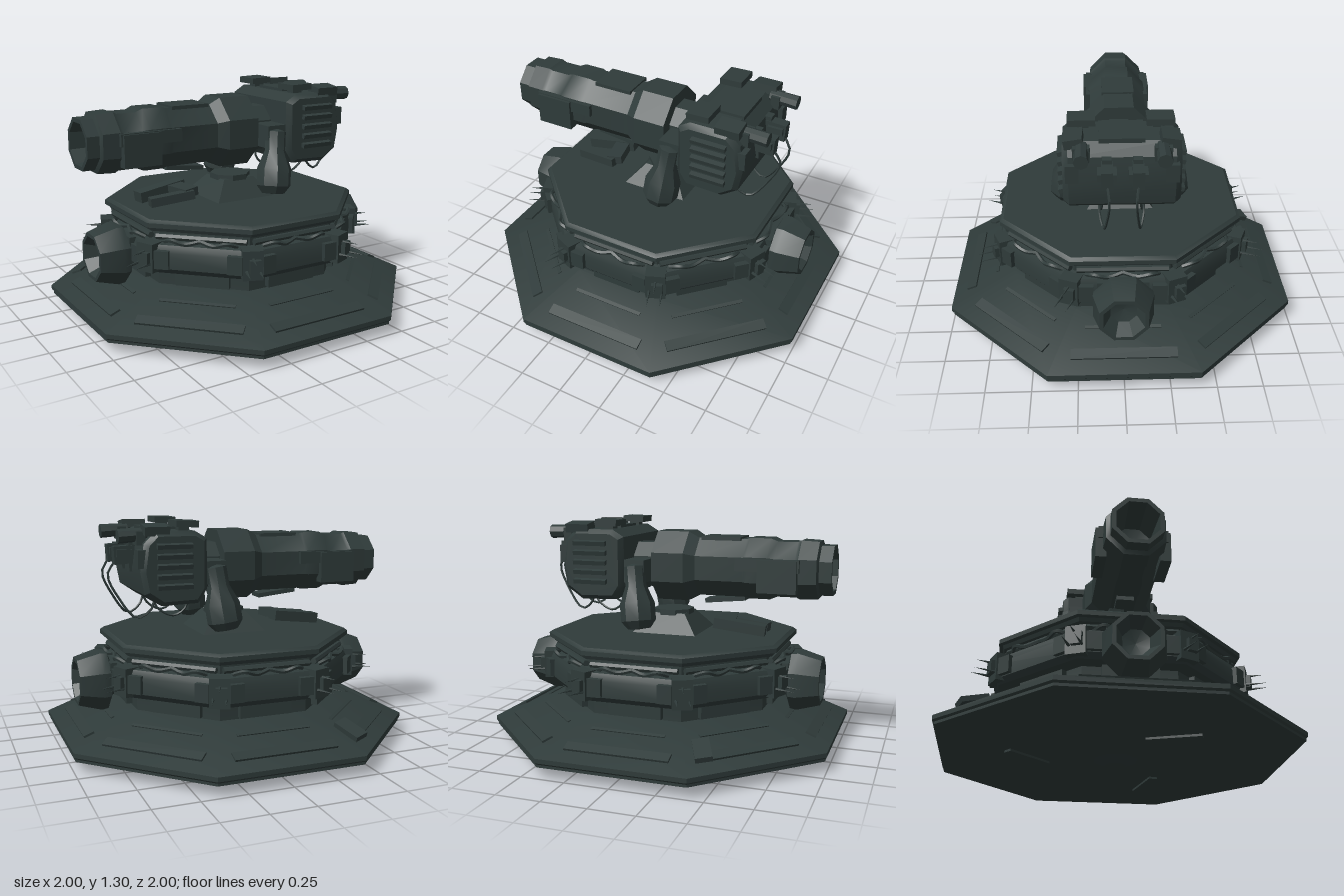
import * as THREE from 'three';
import { toCreasedNormals } from 'three/addons/utils/BufferGeometryUtils.js';

const darkMetal = new THREE.MeshStandardMaterial({ color: 0x2f3b3a });
const K = 1 / Math.cos(Math.PI / 8);

function add(parent, name, geo, x = 0, y = 0, z = 0, rx = 0, ry = 0, rz = 0) {
  const m = new THREE.Mesh(toCreasedNormals(geo, 0.5), darkMetal);
  m.name = name;
  m.position.set(x, y, z);
  m.rotation.set(rx, ry, rz);
  parent.add(m);
  return m;
}
const box = (w, h, d) => new THREE.BoxGeometry(w, h, d);

// Octagonal solid from [half width across flats, height] pairs, flats facing the axes
function octagon(points) {
  return new THREE.LatheGeometry(points.map(([r, y]) => new THREE.Vector2(r * K, y)), 8, Math.PI / 8);
}

// Block with tapered top
function taper(w, h, d, top) {
  const g = box(w, h, d), p = g.attributes.position;
  for (let i = 0; i < p.count; i++) if (p.getY(i) > 0) {
    p.setX(i, p.getX(i) * top);
    p.setZ(i, p.getZ(i) * top);
  }
  return g;
}

function tube(points, r) {
  const curve = new THREE.CatmullRomCurve3(points.map((p) => new THREE.Vector3(...p)));
  return new THREE.TubeGeometry(curve, 14, r, 5);
}

function buildBase(root) {
  const base = new THREE.Group();
  base.name = 'base';
  root.add(base);
  add(base, 'skirt', octagon([[0, 0.04], [0.93, 0.045], [0.99, 0.06], [0.99, 0.075], [1, 0.085], [1, 0.11], [0.63, 0.26], [0, 0.26]]));
  add(base, 'drum', octagon([[0, 0.25], [0.61, 0.25], [0.61, 0.36], [0.63, 0.53], [0.63, 0.6], [0, 0.6]]));
  add(base, 'beltRing', octagon([[0.6, 0.34], [0.68, 0.35], [0.705, 0.38], [0.705, 0.47], [0.69, 0.51], [0.6, 0.53]]));
  add(base, 'deck', octagon([[0, 0.575], [0.66, 0.575], [0.67, 0.595], [0.69, 0.6], [0.69, 0.625], [0.67, 0.64], [0, 0.64]]));
  add(base, 'undersideHub', octagon([[0, 0], [0.05, 0.005], [0.13, 0.045], [0, 0.045]]));
  for (let i = 0; i < 3; i++) {
    const a = i * Math.PI * 2 / 3 + 0.5;
    add(base, 'undersideFin', box(0.3, 0.02, 0.05), Math.cos(a) * 0.5, 0.04, Math.sin(a) * 0.5, 0, 0.7 - a, 0);
  }
  for (let i = 0; i < 8; i++) {
    // Everything repeated on each of the eight sides
    const side = new THREE.Group();
    side.name = 'baseSide';
    side.rotation.y = i * Math.PI / 4;
    base.add(side);
    add(side, 'slopePanel', box(0.58, 0.02, 0.06), 0, 0.156, 0.89, 0.376);
    add(side, 'slopeRib', box(0.42, 0.012, 0.02), 0, 0.215, 0.74, 0.376);
    add(side, 'lowerBracket', box(0.3, 0.07, 0.05), 0, 0.305, 0.62);
    add(side, 'neckPipe', new THREE.CylinderGeometry(0.018, 0.018, 0.5, 6), 0, 0.545, 0.65, 0, 0, Math.PI / 2);
    for (const s of [-1, 1]) {
      add(side, 'ringClamp', box(0.08, 0.1, 0.05), s * 0.2, 0.435, 0.705);
      add(side, 'ringHose', tube([[s * 0.2, 0.52, 0.66], [s * 0.15, 0.54, 0.7], [s * 0.08, 0.52, 0.69], [0, 0.535, 0.67]], 0.012));
    }
    // Corner block with its spikes
    const corner = new THREE.Group();
    corner.name = 'corner';
    corner.rotation.y = Math.PI / 8;
    side.add(corner);
    add(corner, 'cornerBlock', box(0.11, 0.16, 0.09), 0, 0.44, 0.73);
    add(corner, 'cornerKnob', box(0.06, 0.07, 0.06), 0.01, 0.44, 0.77);
    for (const [x, y, l] of [[-0.035, 0.41, 0.13], [0.035, 0.41, 0.13], [0, 0.475, 0.11]]) {
      add(corner, 'spike', new THREE.ConeGeometry(0.01, l, 5), x, y, 0.76 + l / 2, Math.PI / 2);
    }
  }
  add(base, 'skirtBracket', box(0.09, 0.03, 0.16), -0.43, 0.19, -0.8, -0.35, 0.4, 0);
  // Side thrusters with dished ends
  for (const s of [-1, 1]) {
    const pod = octagon([[0, 0], [0.08, 0], [0.09, 0.06], [0.16, 0.09], [0.165, 0.13], [0.13, 0.26], [0.11, 0.26], [0.07, 0.18], [0, 0.16]]);
    add(base, 'sidePod', pod, s * 0.64, 0.39, 0, 0, 0, -s * Math.PI / 2);
    add(base, 'podBracket', box(0.1, 0.16, 0.28), s * 0.68, 0.43, 0);
  }
}

function buildDeckParts(root) {
  add(root, 'pedestal', taper(0.4, 0.12, 0.4, 0.5), 0, 0.69, 0);
  add(root, 'pedestalTop', octagon([[0.11, 0], [0.11, 0.04], [0, 0.04]]), 0, 0.73, 0);
  // Loose clamps on the deck
  add(root, 'deckClamp', box(0.3, 0.06, 0.08), -0.43, 0.695, -0.08, 0, 0.1, 0.13);
  add(root, 'deckClamp', box(0.26, 0.05, 0.06), -0.44, 0.685, 0.09, 0, -0.15, 0.1);
  add(root, 'deckClampTip', box(0.09, 0.05, 0.22), -0.34, 0.705, 0, 0, 0.2, 0.1);
  add(root, 'underBarrelBar', box(0.24, 0.025, 0.1), -0.33, 0.84, 0, 0, 0, -0.1);
}

function buildBarrel(root) {
  const barrel = new THREE.Group();
  barrel.name = 'barrel';
  barrel.position.y = 1.03;
  root.add(barrel);
  add(barrel, 'barrelTube', octagon([
    [0, -0.07], [0.2, -0.07], [0.2, 0.12], [0.165, 0.18], [0.165, 0.46], [0.172, 0.48], [0.172, 0.6], [0.155, 0.64],
    [0.155, 0.75], [0.165, 0.77], [0.16, 0.87], [0.138, 0.88], [0.138, 0.95], [0.115, 0.95], [0.1, 0.72], [0, 0.7],
  ]), 0, 0, 0, 0, 0, Math.PI / 2);
  add(barrel, 'topPanel', box(0.23, 0.02, 0.19), -0.315, 0.165, 0);
  for (const s of [-1, 1]) {
    add(barrel, 'sideBox', box(0.22, 0.18, 0.06), -0.66, -0.03, s * 0.175);
    add(barrel, 'sideRail', box(0.36, 0.07, 0.03), -0.6, 0.03, s * 0.175);
  }
  add(barrel, 'breechNeck', octagon([[0, 0], [0.13, 0], [0.13, 0.18], [0, 0.18]]), 0.05, 0, 0, 0, 0, -Math.PI / 2);
}

function buildHead(root) {
  const head = new THREE.Group();
  head.name = 'engineHead';
  root.add(head);
  // Rounded housing lying across the barrel
  const outline = [[0.23, 0.93], [0.27, 0.87], [0.46, 0.865], [0.54, 0.92], [0.56, 1.03], [0.54, 1.17], [0.49, 1.22], [0.28, 1.22], [0.23, 1.19]];
  const shape = new THREE.Shape(outline.map(([x, y]) => new THREE.Vector2(x, y)));
  const housing = new THREE.ExtrudeGeometry(shape, { depth: 0.56, bevelEnabled: true, bevelSize: 0.025, bevelThickness: 0.03, bevelSegments: 1 });
  add(head, 'housing', housing, 0, 0, -0.28);
  add(head, 'topSpine', box(0.22, 0.03, 0.24), 0.4, 1.245, 0);
  for (const s of [-1, 1]) {
    // Cooling slats on the end caps
    for (let i = 0; i < 5; i++) add(head, 'slat', box(0.2, 0.025, 0.04), 0.4, 0.95 + i * 0.055, s * 0.315, s * 0.25);
    // Roof pods
    add(head, 'roofPod', box(0.13, 0.035, 0.15), 0.315, 1.283, s * 0.21, 0, 0, 0.03);
    add(head, 'roofPodStem', box(0.06, 0.05, 0.06), 0.32, 1.25, s * 0.2);
    add(head, 'roofBlock', box(0.14, 0.05, 0.1), 0.49, 1.255, s * 0.25, s * 0.15);
    // Rear exhausts
    add(head, 'upperExhaust', new THREE.CylinderGeometry(0.036, 0.04, 0.16, 8), 0.61, 1.225, s * 0.21, 0, 0, Math.PI / 2 - 0.05);
    add(head, 'upperExhaustRim', box(0.05, 0.075, 0.09), 0.57, 1.21, s * 0.21);
    add(head, 'lowerExhaust', box(0.13, 0.1, 0.06), 0.62, 1.11, s * 0.08, 0, 0, -0.05);
    add(head, 'lowerExhaustFlange', box(0.06, 0.17, 0.05), 0.57, 1.1, s * 0.08);
    add(head, 'exhaustWing', box(0.09, 0.04, 0.1), 0.63, 1.12, s * 0.08);
    add(head, 'sideExhaust', box(0.08, 0.1, 0.07), 0.56, 1.1, s * 0.26);
    // Hanging cables
    add(head, 'rearCable', tube([[0.67, 1.08, s * 0.08], [0.715, 1.0, s * 0.07], [0.66, 0.87, s * 0.08], [0.56, 0.75, s * 0.1], [0.48, 0.8, s * 0.12], [0.46, 0.88, s * 0.12]], 0.007));
    add(head, 'sideCable', tube([[0.27, 0.9, s * 0.14], [0.28, 0.8, s * 0.13], [0.35, 0.755, s * 0.12], [0.44, 0.8, s * 0.11], [0.48, 0.88, s * 0.1]], 0.007));
    // Support arms with heavy lower bulbs
    const arm = octagon([[0, 0], [0.06, 0.005], [0.092, 0.05], [0.092, 0.15], [0.055, 0.25], [0.055, 0.36], [0, 0.38]]);
    add(head, 'supportArm', arm, 0.1, 0.685, s * 0.315, -s * 0.14, 0, -0.13);
    add(head, 'armHinge', box(0.12, 0.13, 0.16), 0.145, 1.01, s * 0.2);
  }
}

export function createModel() {
  const root = new THREE.Group();
  root.name = 'turret';
  buildBase(root);
  buildDeckParts(root);
  buildBarrel(root);
  buildHead(root);
  return root;
}
